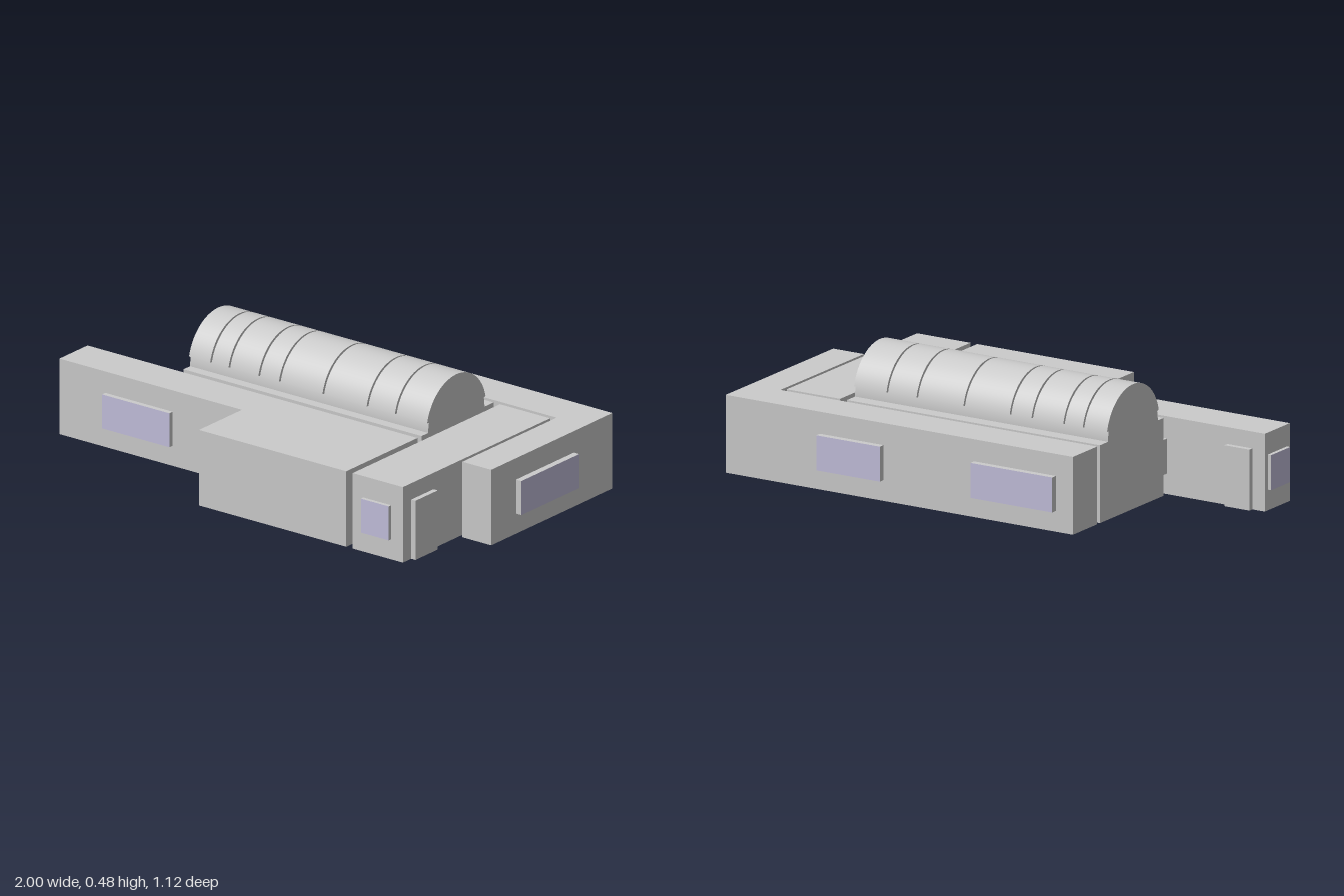
import * as THREE from 'three';

const wall = new THREE.MeshStandardMaterial({ color: 0xcccccc });
wall.name = 'wall grey';
const glass = new THREE.MeshStandardMaterial({ color: 0xc3bfdc });
glass.name = 'window lavender';

const WALL_H = 0.3;

export function createModel() {
  const model = new THREE.Group();
  const add = (name, geometry, material = wall) => {
    const mesh = new THREE.Mesh(geometry, material);
    mesh.name = name;
    model.add(mesh);
    return mesh;
  };
  // box given by its extents
  const box = (name, x0, x1, y0, y1, z0, z1, material) => {
    const g = new THREE.BoxGeometry(x1 - x0, y1 - y0, z1 - z0);
    g.translate((x0 + x1) / 2, (y0 + y1) / 2, (z0 + z1) / 2);
    return add(name, g, material);
  };
  // upright block extruded from a floor plan of [x, z] corners
  const block = (name, plan) => {
    const shape = new THREE.Shape(plan.map(([x, z]) => new THREE.Vector2(x, -z)));
    const g = new THREE.ExtrudeGeometry(shape, { depth: WALL_H, bevelEnabled: false });
    add(name, g.rotateX(-Math.PI / 2));
  };

  // wings
  block('rearWing', [[-0.555, -0.535], [0.975, -0.535], [0.975, 0.2], [0.84, 0.2], [0.84, -0.37], [-0.555, -0.37]]);
  block('frontWing', [[-0.985, 0.11], [0.56, 0.11], [0.56, 0.54], [-0.13, 0.54], [-0.13, 0.28], [-0.985, 0.28]]);
  box('sideWing', 0.59, 0.825, 0, WALL_H, -0.35, 0.54);
  box('hall', -0.555, 0.56, 0, WALL_H, -0.35, 0.085);

  // barrel vault: solid core and raised roof shells along x
  const arch = (name, shape, x0, x1) => {
    const g = new THREE.ExtrudeGeometry(shape, { depth: x1 - x0, bevelEnabled: false, curveSegments: 32 });
    g.rotateY(Math.PI / 2);
    const m = add(name, toSmoothArch(g));
    m.position.set(x0, WALL_H, -0.125);
  };
  const core = new THREE.Shape();
  core.absarc(0, 0, 0.17, 0, Math.PI, false);
  core.closePath();
  arch('vaultCore', core, -0.555, 0.56);

  const start = 0.225;
  const shell = new THREE.Shape();
  shell.absarc(0, 0, 0.181, start, Math.PI - start, false);
  shell.absarc(0, 0, 0.168, Math.PI - start, start, true);
  shell.closePath();
  const joints = [-0.555, -0.452, -0.366, -0.226, -0.13, 0.074, 0.281, 0.413, 0.56];
  for (let i = 0; i < joints.length - 1; i++) {
    const left = i === 0 ? 0 : 0.004;
    const right = i === joints.length - 2 ? 0 : 0.004;
    arch('roofShell', shell, joints[i] + left, joints[i + 1] - right);
  }

  // windows: grey boxes with one lavender face (0:+x 1:-x 4:+z 5:-z)
  const windows = [
    [-0.77, -0.455, 0.28, 0.3, 4],
    [0.64, 0.77, 0.54, 0.555, 4],
    [-0.555, -0.13, 0.085, 0.109, 4],
    [0.975, 1.0, -0.3, 0.05, 0],
    [-1.0, -0.985, 0.13, 0.26, 1],
    [-0.48, -0.12, -0.56, -0.535, 5],
    [0.28, 0.56, -0.56, -0.535, 5],
    [0.28, 0.56, -0.369, -0.35, 5],
  ];
  for (const [x0, x1, z0, z1, face] of windows) {
    const materials = Array(6).fill(wall);
    materials[face] = glass;
    box('window', x0, x1, 0.08, 0.215, z0, z1, materials);
  }

  // doors
  const doors = [
    [0.825, 0.845, 0.355, 0.49],
    [0.56, 0.588, 0.2, 0.31],
    [-0.93, -0.82, 0.09, 0.11],
    [0.28, 0.41, 0.085, 0.109],
    [-0.36, -0.22, -0.369, -0.35],
    [0.64, 0.77, -0.369, -0.35],
  ];
  for (const [x0, x1, z0, z1] of doors) box('door', x0, x1, 0, 0.235, z0, z1);

  return model;
}

// radial normals on the outer curved skin, flat normals elsewhere
function toSmoothArch(g) {
  const p = g.attributes.position, n = g.attributes.normal;
  for (let i = 0; i < p.count; i++) {
    const r = Math.hypot(p.getY(i), p.getZ(i));
    if (r < 1e-6) continue;
    const y = p.getY(i) / r, z = p.getZ(i) / r;
    if (y * n.getY(i) + z * n.getZ(i) > 0.9) n.setXYZ(i, 0, y, z);
  }
  return g;
}
